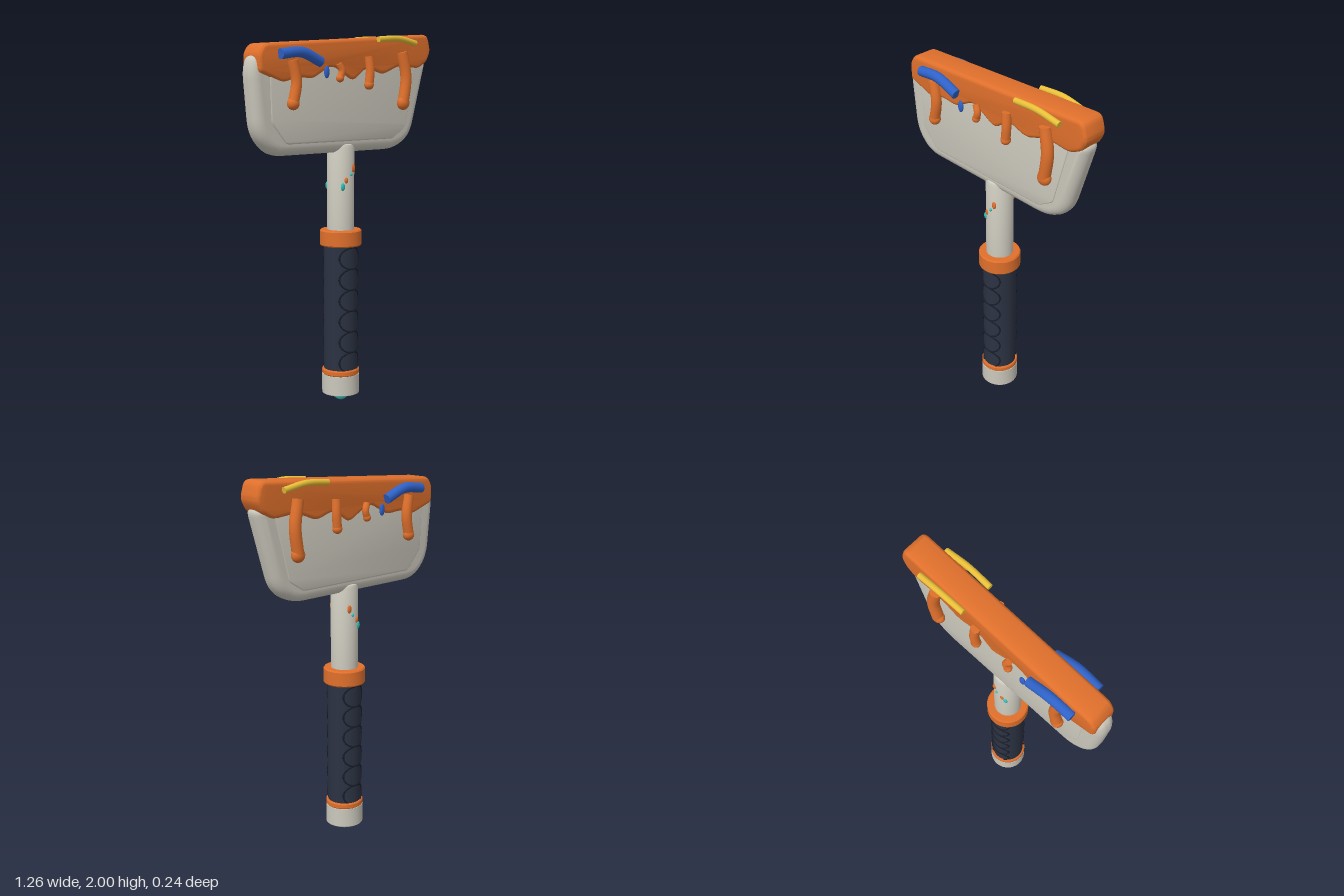
import * as THREE from 'three';
import { toCreasedNormals } from 'three/addons/utils/BufferGeometryUtils.js';

const mat = (color) => new THREE.MeshStandardMaterial({ color });
const V = (x, y, z) => new THREE.Vector3(x, y, z);

export function createModel() {
  const root = new THREE.Group();
  const bone = mat(0xcbc8bc), orange = mat(0xe0702c), navy = mat(0x2b3242), dark = mat(0x181d28);
  const blue = mat(0x2f62c8), yellow = mat(0xe8bf38), teal = mat(0x2fc4b8);

  function add(name, geometry, material, parent = root) {
    const mesh = new THREE.Mesh(geometry, material);
    mesh.name = name;
    parent.add(mesh);
    return mesh;
  }

  // Closed outline with softened corners; each point is [x, y, corner radius]
  function outline(points) {
    const shape = new THREE.Shape();
    points.forEach(([x, y, r = 0.03], i) => {
      const p = new THREE.Vector2(x, y);
      const toward = (q) => {
        const d = new THREE.Vector2(q[0] - x, q[1] - y);
        return p.clone().addScaledVector(d.clone().normalize(), Math.min(r, d.length() * 0.45));
      };
      const a = toward(points[(i + points.length - 1) % points.length]);
      const b = toward(points[(i + 1) % points.length]);
      if (i === 0) shape.moveTo(a.x, a.y); else shape.lineTo(a.x, a.y);
      shape.quadraticCurveTo(x, y, b.x, b.y);
    });
    shape.closePath();
    return shape;
  }

  // Slab centred on z = 0, rounded inward from the outline
  function slab(name, points, half, bevel, material) {
    const g = new THREE.ExtrudeGeometry(outline(points), {
      depth: 2 * (half - bevel), bevelEnabled: true, bevelSize: bevel, bevelThickness: bevel,
      bevelOffset: -bevel, bevelSegments: 6, curveSegments: 6,
    });
    g.translate(0, 0, bevel - half);
    return add(name, toCreasedNormals(g, 0.6), material);
  }

  function turned(name, profile, material) {
    const g = new THREE.LatheGeometry(profile.map(([r, y]) => new THREE.Vector2(r, y)), 40);
    return add(name, toCreasedNormals(g, 0.5), material);
  }

  function ellipsoid(name, position, scale, material, parent = root) {
    const m = add(name, new THREE.SphereGeometry(1, 20, 14), material, parent);
    m.position.copy(position);
    m.scale.copy(scale);
    return m;
  }

  // Tube along a curve with flat discs closing both ends
  function cappedTube(name, points, r, material, parent) {
    const group = new THREE.Group();
    group.name = name;
    parent.add(group);
    const curve = new THREE.CatmullRomCurve3(points);
    add(name + 'Body', new THREE.TubeGeometry(curve, 24, r, 14), material, group);
    [[0, -1], [1, 1]].forEach(([t, sign]) => {
      const cap = add(name + 'End', new THREE.CircleGeometry(r, 14), material, group);
      cap.position.copy(curve.getPoint(t));
      cap.quaternion.setFromUnitVectors(V(0, 0, 1), curve.getTangent(t).multiplyScalar(sign));
    });
    return group;
  }

  // Head: rounded body with a shallow plate on both faces
  slab('headBody', [
    [-0.61, 1.88, 0.05], [-0.635, 1.8, 0.05], [-0.605, 1.48, 0.08], [-0.5, 1.37, 0.08],
    [0.38, 1.37, 0.08], [0.5, 1.44, 0.08], [0.625, 1.87, 0.05],
  ], 0.058, 0.05, bone);
  slab('headPlate', [
    [-0.53, 1.85, 0], [-0.52, 1.54, 0.02], [-0.425, 1.43, 0.02],
    [0.335, 1.43, 0.02], [0.43, 1.49, 0.02], [0.53, 1.87, 0],
  ], 0.062, 0.006, bone);

  // Cap: thick coating with a wavy lower edge
  slab('headCap', [
    [-0.6, 1.79, 0.02], [-0.44, 1.735, 0.04], [-0.36, 1.765], [-0.25, 1.755, 0.03],
    [-0.12, 1.825, 0.04], [0.03, 1.74, 0.04], [0.13, 1.815, 0.04], [0.25, 1.775, 0.04],
    [0.38, 1.825, 0.04], [0.53, 1.81, 0.04], [0.6, 1.85, 0.02], [0.632, 1.91, 0.03],
    [0.605, 2.003, 0.035], [-0.57, 1.932, 0.03], [-0.602, 1.88, 0.02],
  ], 0.072, 0.022, orange);

  // Decoration repeated on the front and back faces
  const drips = [ // path x, top y, bottom y, radius, bulb radius
    [[-0.4, -0.38, -0.4], 1.85, 1.635, 0.028, 0.033],
    [[-0.085, -0.07, -0.082], 1.835, 1.76, 0.018, 0.021],
    [[0.13, 0.135, 0.128], 1.875, 1.725, 0.024, 0.026],
    [[0.385, 0.41, 0.392], 1.9, 1.625, 0.031, 0.039],
  ];
  for (const s of [1, -1]) {
    const side = new THREE.Group();
    side.name = s > 0 ? 'frontDecoration' : 'backDecoration';
    root.add(side);
    for (const [xs, top, bottom, r, bulb] of drips) {
      const zs = [0.08, 0.086, 0.084];
      const path = xs.map((x, i) => V(x, top + (bottom - top) * i / 2, s * zs[i]));
      cappedTube('drip', path, r, orange, side);
      ellipsoid('dripBulb', path[2], V(bulb, bulb, Math.min(bulb, 0.03)), orange, side);
    }
    cappedTube('blueStroke', [V(-0.485, 1.88, s * 0.09), V(-0.35, 1.89, s * 0.093), V(-0.22, 1.843, s * 0.09)],
      0.027, blue, side);
    cappedTube('yellowStroke', [V(0.195, 1.966, s * 0.088), V(0.34, 1.973, s * 0.091), V(0.48, 1.95, s * 0.088)],
      0.016, yellow, side);
    ellipsoid('blueDrop', V(-0.183, 1.792, s * 0.094), V(0.017, 0.032, 0.01), blue, side);

    // Small spots on the neck
    [[0.027, 1.285, 0.014, 0.022, orange], [0.008, 1.252, 0.007, 0.009, teal],
      [-0.023, 1.222, 0.011, 0.016, orange], [-0.04, 1.188, 0.014, 0.021, teal]]
      .forEach(([x, y, rx, ry, m]) =>
        ellipsoid('neckSpot', V(x, y, s * Math.sqrt(0.073 ** 2 - x * x)), V(rx, ry, 0.008), m, side));

    // Raised oval loops wrapped over the grip
    for (let k = 0; k < 6; k++) {
      const pts = [];
      for (let i = 0; i < 24; i++) {
        const t = i / 24 * Math.PI * 2, a = 0.82 * Math.cos(t);
        pts.push(V(0.091 * Math.sin(a), 0.227 + k * 0.115 + 0.058 * Math.sin(t), s * 0.091 * Math.cos(a)));
      }
      add('gripLoop', new THREE.TubeGeometry(new THREE.CatmullRomCurve3(pts, true), 48, 0.005, 6, true), dark, side);
      // Knots at the sides of each loop
      for (const e of [1, -1]) {
        ellipsoid('gripKnot', V(e * 0.091 * Math.sin(0.82), 0.227 + k * 0.115, s * 0.091 * Math.cos(0.82)),
          V(0.007, 0.007, 0.007), dark, side);
      }
    }
  }

  // Handle
  turned('neck', [[0, 0.9], [0.073, 0.9], [0.073, 1.395], [0.066, 1.41], [0.045, 1.423], [0, 1.423]], bone);
  turned('collar', [[0, 0.865], [0.107, 0.865], [0.113, 0.872], [0.113, 0.946], [0.107, 0.953], [0, 0.953]], orange);
  turned('grip', [[0, 0.17], [0.091, 0.17], [0.091, 0.88], [0, 0.88]], navy);
  turned('lowerRing', [[0, 0.153], [0.098, 0.153], [0.102, 0.158], [0.102, 0.178], [0.098, 0.184], [0, 0.184]], orange);
  turned('pommel', [[0, 0.045], [0.1, 0.045], [0.102, 0.048], [0.102, 0.153], [0, 0.153]], bone);
  ellipsoid('pommelGem', V(0, 0.027, 0), V(0.036, 0.027, 0.036), teal);

  return root;
}
